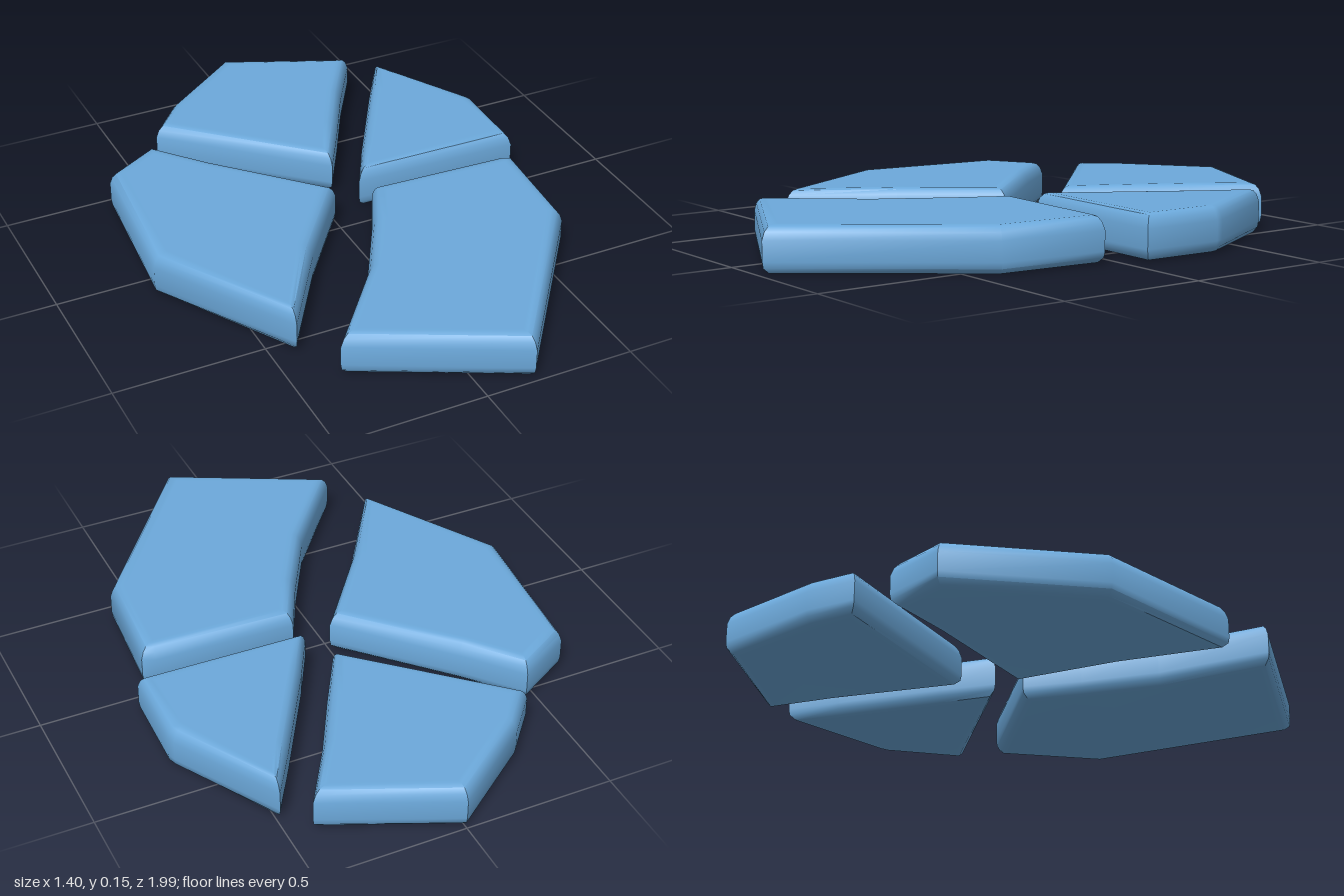
import * as THREE from 'three';
import { toCreasedNormals } from 'three/addons/utils/BufferGeometryUtils.js';

const stone = new THREE.MeshStandardMaterial({ color: 0x6ca9db });
stone.name = 'blueStone';

// Edge profile from bottom to top: [inset from the outline, height]
const PROFILE = [[0.04, 0], [0.02, 0.003], [0.003, 0.02], [0, 0.04], [0, 0.105], [0.008, 0.13], [0.02, 0.145], [0.036, 0.15], [0.05, 0.15]];

// Slab outlines as [x, z] corners
const SLABS = {
  backSlab: [[0, -1], [0.42, -0.81], [0.29, -0.6], [0.18, -0.4], [0.07, -0.21], [-0.4, -0.65], [-0.29, -0.78]],
  leftSlab: [[0.49, -0.73], [0.69, -0.38], [0.7, -0.35], [0.69, -0.07], [0.11, -0.085], [0.2, -0.25], [0.39, -0.57]],
  rightSlab: [[-0.46, -0.55], [-0.31, -0.37], [0, -0.04], [-0.22, 0.25], [-0.42, 0.56], [-0.7, 0.09], [-0.65, -0.44]],
  frontSlab: [[0.11, 0.01], [0.59, 0.03], [0.63, 0.05], [0.6, 0.42], [0.17, 0.99], [-0.35, 0.72], [-0.11, 0.42], [0.02, 0.19]],
};

// Inward corner direction, shortened at sharp tips
function insetDirections(pts) {
  const n = pts.length;
  const normals = pts.map((p, i) => {
    const q = pts[(i + 1) % n];
    return new THREE.Vector2(-(q.y - p.y), q.x - p.x).normalize();
  });
  return normals.map((b, i) => {
    const a = normals[(i + n - 1) % n];
    return a.clone().add(b).divideScalar(1 + a.dot(b)).clampLength(0, 1.3);
  });
}

function slabGeometry(outline) {
  const pts = outline.map(([x, z]) => new THREE.Vector2(x, z));
  const dirs = insetDirections(pts);
  const n = pts.length;
  const positions = [];
  const index = [];

  // Stacked rings and the walls between them
  PROFILE.forEach(([inset, y], r) => {
    for (let i = 0; i < n; i++) {
      positions.push(pts[i].x + dirs[i].x * inset, y, pts[i].y + dirs[i].y * inset);
      if (r === 0) continue;
      const j = (i + 1) % n;
      const lo = (r - 1) * n;
      const hi = r * n;
      index.push(lo + i, hi + i, lo + j, lo + j, hi + i, hi + j);
    }
  });

  // Flat bottom and top
  const top = (PROFILE.length - 1) * n;
  for (const [a, b, c] of THREE.ShapeUtils.triangulateShape(pts, [])) {
    index.push(a, b, c, top + a, top + c, top + b);
  }

  const geometry = new THREE.BufferGeometry();
  geometry.setAttribute('position', new THREE.Float32BufferAttribute(positions, 3));
  geometry.setIndex(index);
  return toCreasedNormals(geometry, THREE.MathUtils.degToRad(42));
}

export function createModel() {
  const group = new THREE.Group();
  group.name = 'steppingStones';
  for (const [name, outline] of Object.entries(SLABS)) {
    const mesh = new THREE.Mesh(slabGeometry(outline), stone);
    mesh.name = name;
    group.add(mesh);
  }
  return group;
}
